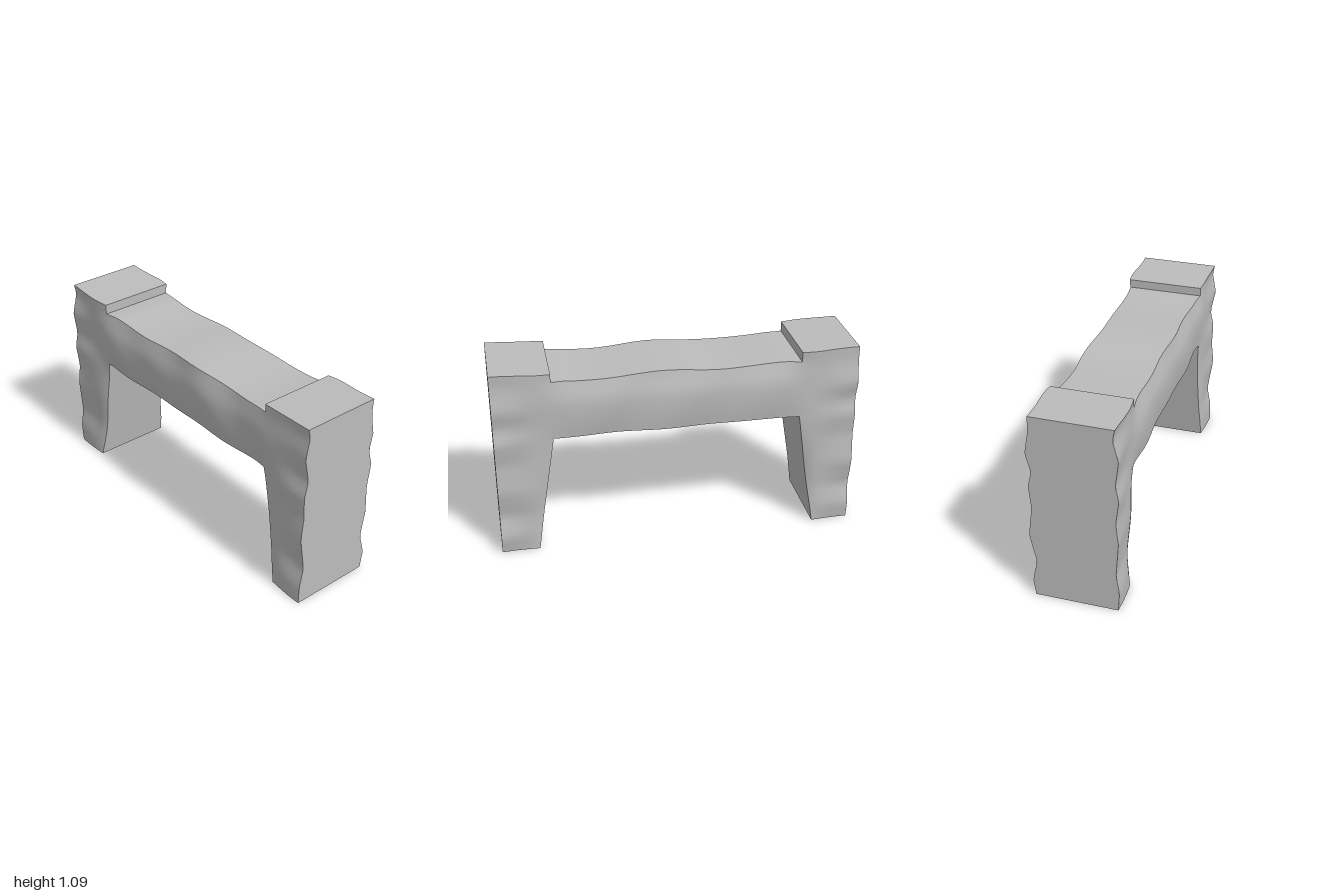
import * as THREE from 'three';
import { mergeGeometries, mergeVertices } from 'three/addons/utils/BufferGeometryUtils.js';

const BEAM_LOW = 0.69, BEAM_END = 0.68, FOOT = 0.79;
const { lerp, clamp, smoothstep } = THREE.MathUtils;

// Piecewise-linear lookup of [position, value] pairs
function profile(points, t) {
  for (let i = 1; i < points.length; i++) {
    const [a, va] = points[i - 1], [b, vb] = points[i];
    if (t <= b) return lerp(va, vb, clamp((t - a) / (b - a), 0, 1));
  }
  return points[points.length - 1][1];
}

// Half-depth along the outer ends of the legs
const frontEdge = [[0, .233], [.11, .235], [.22, .216], [.42, .238], [.55, .224], [.68, .235],
  [.77, .216], [.91, .239], [1.03, .212], [1.09, .225]];
const backEdge = [[0, .222], [.1, .235], [.22, .204], [.38, .235], [.55, .221], [.68, .236],
  [.77, .212], [.87, .236], [1, .214], [1.09, .218]];
// Half-depth of the beam, drawn in towards its top edge
const beamSection = [[.69, .216], [.76, .226], [.84, .232], [.91, .23], [.97, .215], [1.02, .202], [1.09, .208]];

const innerEdge = y => (y < BEAM_LOW ? lerp(FOOT, BEAM_END, y / BEAM_LOW) : BEAM_END);
const beamTop = x => 1.02 + 0.008 * Math.sin(x * 8 + 1) * (1 - smoothstep(Math.abs(x), .55, .68));
const capTop = x => (x < 0 ? lerp(1.085, 1.076, (x + 1) / .32) : lerp(1.068, 1.08, (x - .68) / .32));

// Worn, hammered half-depth of the front (side 1) or back (side -1)
function depth(x, y, side) {
  const ax = Math.abs(x);
  const end = profile(side > 0 ? frontEdge : backEdge, y);
  const leg = lerp(.226, end, smoothstep(ax, .7, 1));
  const beam = profile(beamSection, y) + .005 * Math.sin(x * 9 + side * 2 + y * 5);
  const k = smoothstep(ax, .58, .8);
  let d = lerp(y < BEAM_LOW ? lerp(leg, beam, smoothstep(y, .45, BEAM_LOW)) : beam, leg, k);
  d += .004 * Math.sin(x * 14 + y * 11 + side);
  // Pinched inner edge of the leg
  if (y < BEAM_LOW) d -= .02 * Math.exp(-(ax - innerEdge(y)) / .03) * Math.sin(Math.PI * y / BEAM_LOW);
  return Math.min(d, .239);
}

// Grid patch; its face points along du x dv
function patch(nu, nv, fn, flip = false) {
  const g = new THREE.PlaneGeometry(1, 1, nu, nv);
  const p = g.attributes.position;
  for (let i = 0; i < p.count; i++) {
    const u = p.getX(i) + .5, v = p.getY(i) + .5;
    p.setXYZ(i, ...fn(flip ? 1 - u : u, v));
  }
  g.deleteAttribute('normal');
  g.deleteAttribute('uv');
  g.computeVertexNormals();
  return g;
}

// Weld neighbouring patches into one smooth surface
function weld(list) {
  list.forEach(g => g.deleteAttribute('normal'));
  const g = mergeVertices(mergeGeometries(list), 1e-4);
  g.computeVertexNormals();
  return g;
}

export function createModel() {
  const group = new THREE.Group();
  const stone = new THREE.MeshStandardMaterial({ color: 0xbcbcbc, side: THREE.DoubleSide });
  stone.name = 'grey stone';
  const add = (name, geometry) => {
    const mesh = new THREE.Mesh(geometry, stone);
    mesh.name = name;
    group.add(mesh);
  };

  // Front and back walls: beam, then three stacked patches per leg
  for (const side of [1, -1]) {
    const flip = side < 0;
    const at = (x, y) => [x, y, side * depth(x, y, side)];
    const list = [patch(40, 10, (u, v) => {
      const x = lerp(-BEAM_END, BEAM_END, u);
      return at(x, lerp(BEAM_LOW, beamTop(x), v));
    }, flip)];
    for (const s of [1, -1]) {
      const f = flip !== (s < 0);
      const legX = (u, y) => s * lerp(innerEdge(y), 1, u);
      list.push(
        patch(10, 24, (u, v) => { const y = v * BEAM_LOW; return at(legX(u, y), y); }, f),
        patch(10, 10, (u, v) => { const y = lerp(BEAM_LOW, 1.02, v); return at(legX(u, y), y); }, f),
        patch(10, 2, (u, v) => {
          const x = legX(u, 1);
          return at(x, lerp(1.02, capTop(x), v));
        }, f));
    }
    add(side > 0 ? 'frontWall' : 'backWall', weld(list));
  }

  // Point across the thickness, from back (0) to front (1)
  const across = (x, y, t) => [x, y, lerp(-depth(x, y, -1), depth(x, y, 1), t)];

  add('beamTop', patch(40, 4, (u, v) => {
    const x = lerp(-BEAM_END, BEAM_END, u);
    return across(x, beamTop(x), 1 - v);
  }));
  add('beamUnderside', patch(40, 4, (u, v) => across(lerp(-BEAM_END, BEAM_END, u), BEAM_LOW, v)));

  // Flat sides of the two hollow legs, which are open at the foot
  for (const s of [1, -1]) {
    const name = s > 0 ? 'left' : 'right';
    const out = s < 0, inward = s > 0;
    add(name + 'LegOuterSide', patch(4, 36, (u, v) => {
      const y = v * capTop(s);
      return across(s, y, 1 - u);
    }, out));
    add(name + 'LegInnerSide', patch(4, 24, (u, v) => {
      const y = v * BEAM_LOW;
      return across(s * innerEdge(y), y, 1 - u);
    }, inward));
    add(name + 'CapStep', patch(4, 2, (u, v) => {
      const x = s * BEAM_END;
      return across(x, lerp(1.02, capTop(x), v), 1 - u);
    }, inward));
    add(name + 'CapTop', patch(10, 4, (u, v) => {
      const x = s * lerp(BEAM_END, 1, u);
      return across(x, capTop(x), 1 - v);
    }, out));
  }
  return group;
}
